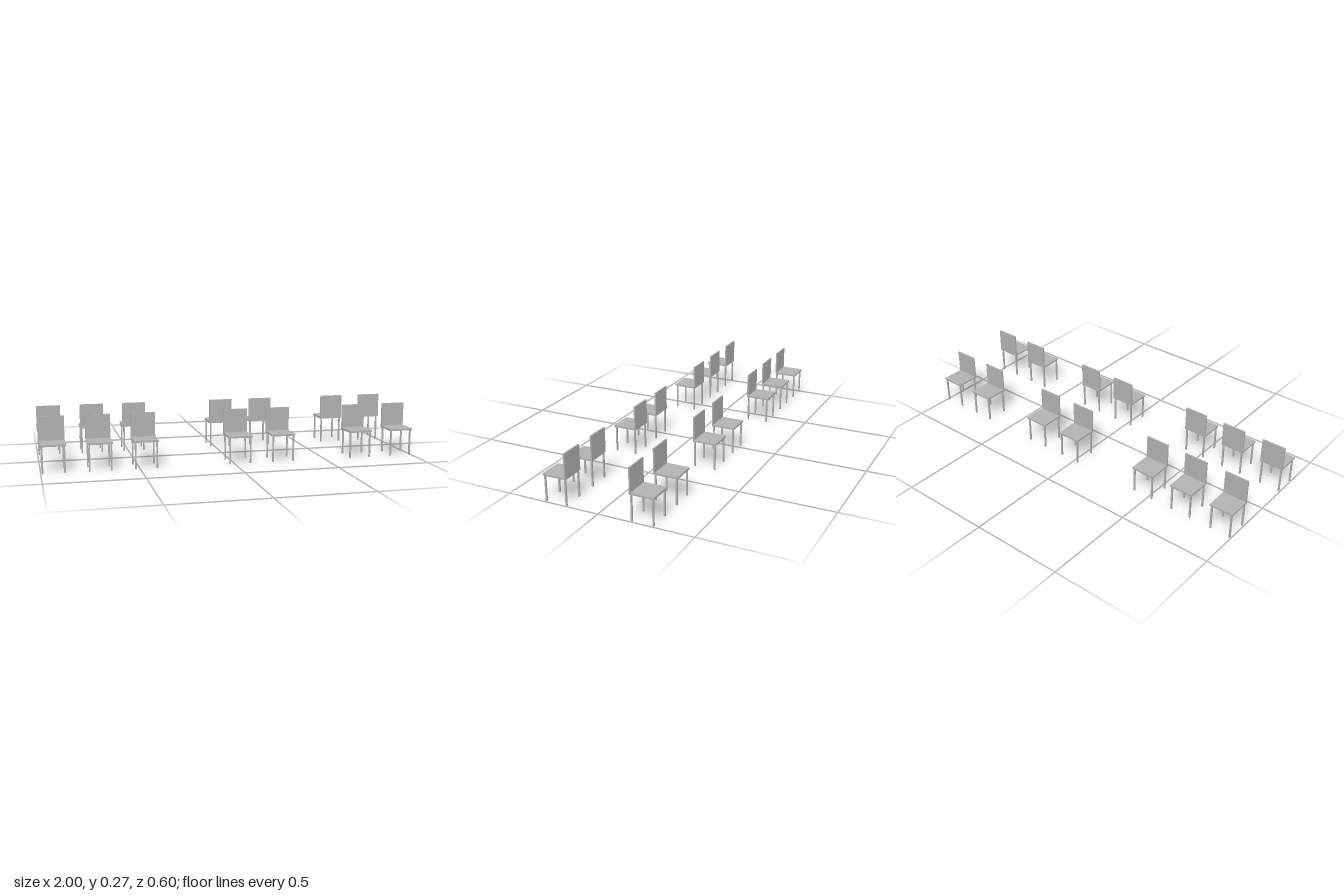
import * as THREE from 'three';

export function createModel() {
  const model = new THREE.Group();
  model.name = 'chairRows';
  const grey = new THREE.MeshStandardMaterial({ color: 0xb2b2b2 });
  grey.name = 'plainGrey';

  const size = 0.129, seatTop = 0.148, seatBottom = 0.138;
  const backTop = 0.273, backThick = 0.008, legThick = 0.008;

  const seatGeo = new THREE.BoxGeometry(size, seatTop - seatBottom, size);
  const backGeo = new THREE.BoxGeometry(size, backTop - seatTop, backThick);
  const legGeo = new THREE.BoxGeometry(legThick, seatBottom, legThick);

  function add(group, name, geometry, x, y, z) {
    const mesh = new THREE.Mesh(geometry, grey);
    mesh.name = name;
    mesh.position.set(x, y, z);
    group.add(mesh);
  }

  // One chair facing +z, centred on its seat
  function makeChair() {
    const chair = new THREE.Group();
    chair.name = 'chair';
    add(chair, 'seat', seatGeo, 0, (seatTop + seatBottom) / 2, 0);
    add(chair, 'backrest', backGeo, 0, (seatTop + backTop) / 2, (backThick - size) / 2);
    for (const side of [-1, 1]) {
      const x = side * 0.0555;
      add(chair, 'frontLeg', legGeo, x, seatBottom / 2, 0.0555);
      add(chair, 'backLeg', legGeo, x, seatBottom / 2, -0.0565);
    }
    return chair;
  }

  // Two rows, back to back, with gaps between groups of chairs
  const columns = [-0.9355, -0.701, -0.4665, 0.031, 0.2655, 0.701, 0.9355];
  for (const facing of [1, -1]) {
    const row = new THREE.Group();
    row.name = facing > 0 ? 'frontRow' : 'backRow';
    for (const x of columns) {
      const chair = makeChair();
      chair.position.set(x, 0, facing * 0.2335);
      if (facing < 0) chair.rotation.y = Math.PI;
      row.add(chair);
    }
    model.add(row);
  }
  return model;
}
